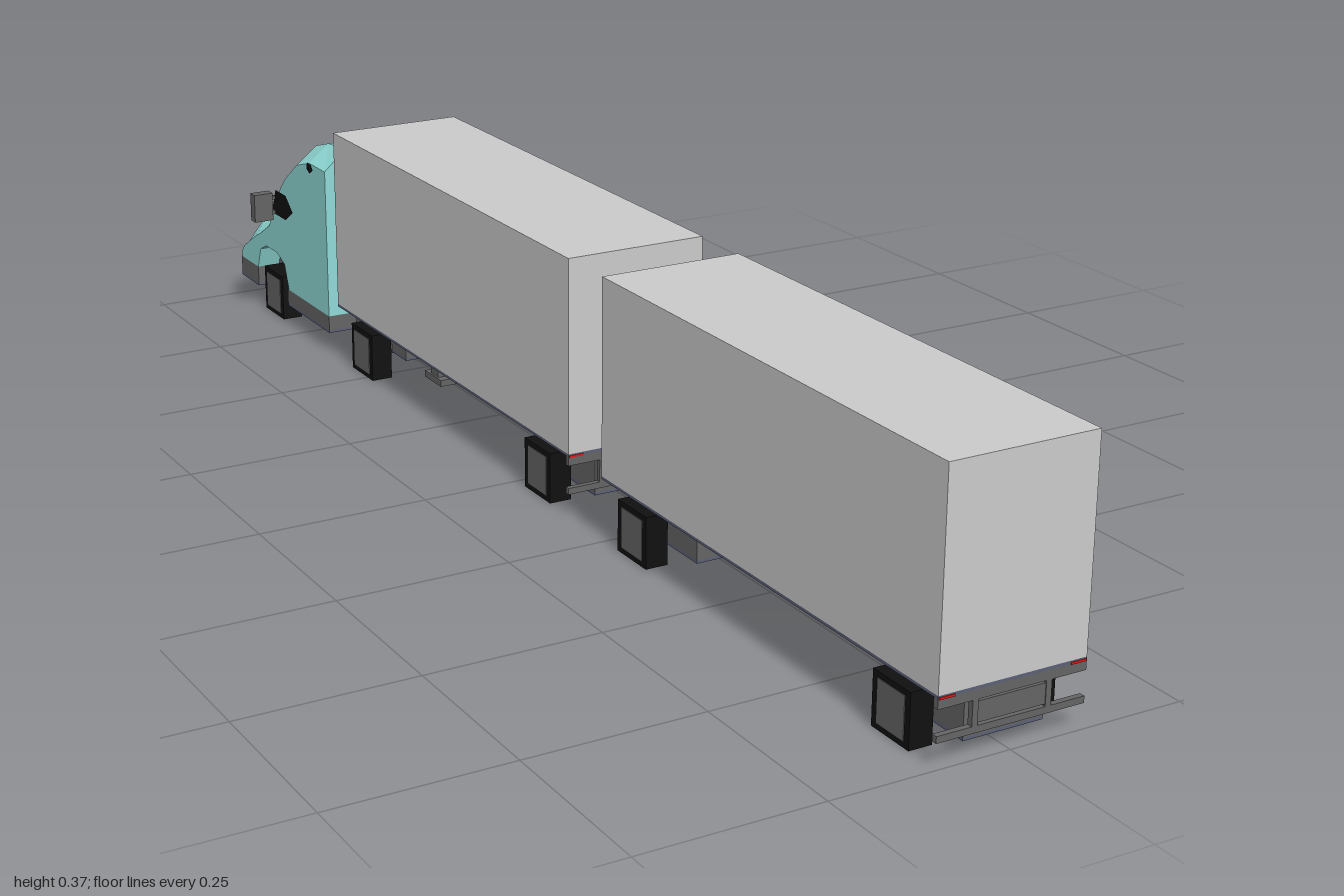
import * as THREE from 'three';

const mat = (name, color, extra = {}) => {
  const m = new THREE.MeshStandardMaterial({ color, flatShading: true, ...extra });
  m.name = name;
  return m;
};

export function createModel() {
  const white = mat('trailerGrey', 0xcacaca);
  const teal = mat('cabTeal', 0x90dad7);
  const grey = mat('frameGrey', 0x646464);
  const navy = mat('undersideNavy', 0x5b5f76);
  const black = mat('tireAndGlassBlack', 0x101010, { side: THREE.DoubleSide });
  const red = mat('lampRed', 0xee1515);

  const root = new THREE.Group();
  root.name = 'doubleTrailerTruck';

  const add = (parent, name, geometry, material) => {
    const mesh = new THREE.Mesh(geometry, material);
    mesh.name = name;
    parent.add(mesh);
    return mesh;
  };
  // Box given by its minimum and maximum on each axis
  const box = (parent, name, material, x0, x1, y0, y1, z0, z1) => {
    const g = new THREE.BoxGeometry(x1 - x0, y1 - y0, z1 - z0);
    g.translate((x0 + x1) / 2, (y0 + y1) / 2, (z0 + z1) / 2);
    return add(parent, name, g, material);
  };
  const group = (name) => {
    const g = new THREE.Group();
    g.name = name;
    root.add(g);
    return g;
  };
  const fromPoints = (points) => {
    const g = new THREE.BufferGeometry();
    g.setAttribute('position', new THREE.Float32BufferAttribute(points.flat(), 3));
    g.computeVertexNormals();
    return g;
  };

  // Axle with two square-shouldered wheels
  const axle = (z) => {
    const g = group('axle');
    box(g, 'axleBeam', grey, -0.075, 0.075, 0.03, 0.045, z - 0.01, z + 0.01);
    for (const s of [-1, 1]) {
      const a = s > 0 ? 0.071 : -0.104, b = s > 0 ? 0.104 : -0.071;
      box(g, 'tire', black, a, b, 0, 0.074, z - 0.037, z + 0.037);
      box(g, 'hub', grey, a - 0.001, b + 0.001, 0.008, 0.066, z - 0.027, z + 0.027);
    }
  };
  [0.91, 0.322, 0.06, -0.518, -0.865].forEach(axle);

  // Trailer body with its navy floor, rear frame and lamps
  const trailer = (name, z0, z1) => {
    const g = group(name);
    box(g, 'cargoBox', white, -0.105, 0.105, 0.092, 0.372, z0, z1);
    box(g, 'floor', navy, -0.105, 0.105, 0.088, 0.092, z0, z1);
    box(g, 'rearCrossBar', grey, -0.105, 0.105, 0.075, 0.088, z1 - 0.008, z1);
    box(g, 'underrideBar', grey, -0.105, 0.105, 0.033, 0.042, z1 - 0.008, z1);
    box(g, 'ratePanel', grey, -0.05, 0.05, 0.045, 0.072, z1 - 0.005, z1 - 0.001);
    for (const s of [-1, 1]) {
      box(g, 'post', grey, s * 0.052 - 0.004, s * 0.052 + 0.004, 0.04, 0.078, z1 - 0.008, z1);
      box(g, 'tailLamp', red, s * 0.093 - 0.011, s * 0.093 + 0.011, 0.087, 0.09, z1 - 0.003, z1 + 0.001);
    }
    return g;
  };
  trailer('rearTrailer', 0.243, 0.999);
  const front = trailer('frontTrailer', -0.603, 0.152);

  // Axle housings below the trailers
  const housing = (z0, z1) => {
    const g = group('axleHousing');
    box(g, 'housing', grey, -0.057, 0.057, 0.022, 0.089, z0, z1);
    box(g, 'housingBottom', navy, -0.057, 0.057, 0.018, 0.022, z0, z1);
  };
  housing(0.83, 0.985);
  housing(0.255, 0.41);
  housing(-0.018, 0.14);

  // Landing gear
  box(front, 'landingGearTop', grey, -0.06, 0.06, 0.068, 0.09, -0.385, -0.33);
  box(front, 'landingGearMiddle', grey, -0.06, 0.06, 0.053, 0.06, -0.385, -0.33);
  for (const s of [-1, 1])
    box(front, 'landingLeg', grey, s * 0.045 - 0.012, s * 0.045 + 0.012, 0.035, 0.07, -0.37, -0.345);
  box(front, 'landingFoot', grey, -0.06, 0.06, 0.03, 0.04, -0.385, -0.33);

  // V-shaped drawbar between the trailers
  const drawbar = group('drawbar');
  for (const s of [-1, 1]) {
    const arm = add(drawbar, 'drawbarArm', new THREE.BoxGeometry(0.012, 0.012, 0.102), grey);
    arm.position.set(s * 0.017, 0.11, 0.198);
    arm.rotation.y = s * Math.atan2(0.034, 0.095);
  }

  // Tractor chassis, skirts and wheel wells
  const cab = group('tractor');
  box(cab, 'rearChassis', grey, -0.057, 0.057, 0.036, 0.076, -0.645, -0.458);
  box(cab, 'chassisBottom', navy, -0.057, 0.057, 0.032, 0.036, -0.645, -0.458);
  box(cab, 'sideSkirt', grey, -0.105, 0.105, 0.036, 0.06, -0.805, -0.64);
  box(cab, 'skirtBottom', navy, -0.105, 0.105, 0.032, 0.036, -0.805, -0.64);
  box(cab, 'wheelWell', navy, -0.067, 0.067, 0.032, 0.115, -0.94, -0.79);
  box(cab, 'bumper', grey, -0.105, 0.105, 0.036, 0.065, -1, -0.928);
  box(cab, 'bumperBottom', navy, -0.105, 0.105, 0.032, 0.036, -1, -0.928);

  // Cab shell: stations of z, bottom, shoulder height, top height, top half-width
  const stations = [
    [-0.64, 0.06, 0.300, 0.332, 0.070],
    [-0.70, 0.06, 0.300, 0.328, 0.070],
    [-0.75, 0.06, 0.285, 0.313, 0.070],
    [-0.80, 0.06, 0.250, 0.278, 0.072],
    [-0.815, 0.10, 0.235, 0.262, 0.074],
    [-0.845, 0.112, 0.200, 0.228, 0.078],
    [-0.875, 0.112, 0.150, 0.172, 0.058],
    [-0.89, 0.112, 0.142, 0.171, 0.057],
    [-0.915, 0.10, 0.127, 0.169, 0.055],
    [-0.93, 0.06, 0.120, 0.168, 0.055],
    [-0.965, 0.06, 0.100, 0.163, 0.054],
    [-0.985, 0.06, 0.088, 0.125, 0.053],
    [-0.998, 0.06, 0.075, 0.086, 0.052],
  ];
  const rings = stations.map(([z, b, s, t, w]) => [
    [0.105, b, z], [0.105, s, z], [w, t, z], [-w, t, z], [-0.105, s, z], [-0.105, b, z],
  ]);
  const shell = [];
  for (let i = 0; i + 1 < rings.length; i++)
    for (let j = 0; j < 6; j++) {
      const k = (j + 1) % 6, p = rings[i], q = rings[i + 1];
      shell.push(p[j], q[j], p[k], p[k], q[j], q[k]);
    }
  const last = rings[rings.length - 1];
  for (let j = 1; j < 5; j++) {
    shell.push(rings[0][0], rings[0][j], rings[0][j + 1]);
    shell.push(last[0], last[j + 1], last[j]);
  }
  add(cab, 'cabShell', fromPoints(shell), teal);

  // Wraparound windshield
  const glass = [];
  const xs = [-0.094, -0.075, 0, 0.075, 0.094];
  const sweep = [0.012, 0.002, 0, 0.002, 0.012];
  for (let i = 0; i < 4; i++) {
    const hi = (n) => [xs[n], 0.224, -0.853 + sweep[n]];
    const lo = (n) => [xs[n], 0.172, -0.881 + sweep[n]];
    glass.push(hi(i), hi(i + 1), lo(i), lo(i), hi(i + 1), lo(i + 1));
  }
  add(cab, 'windshield', fromPoints(glass), black);

  // Flat shape facing along x, from [z, y] points
  const sidePane = (name, pts, s) => {
    const g = new THREE.ShapeGeometry(new THREE.Shape(pts.map(([z, y]) => new THREE.Vector2(-z, y))));
    g.rotateY(Math.PI / 2);
    g.translate(s * 0.1065, 0, 0);
    add(cab, name, g, black);
  };
  for (const s of [-1, 1]) {
    sidePane('sideWindow', [[-0.77, 0.2], [-0.797, 0.222], [-0.838, 0.222], [-0.856, 0.18], [-0.8, 0.18]], s);
    sidePane('sleeperWindow', [[-0.683, 0.292], [-0.69, 0.3], [-0.705, 0.3], [-0.708, 0.29], [-0.697, 0.284]], s);
    // Mirrors on two arms
    const m = s * 0.129;
    box(cab, 'mirror', grey, m - 0.016, m + 0.016, 0.172, 0.218, -0.853, -0.836);
    for (const y of [0.183, 0.208])
      box(cab, 'mirrorArm', grey, s * 0.108 - 0.008, s * 0.108 + 0.008, y - 0.003, y + 0.003, -0.848, -0.841);
  }

  // Grille with clipped corners, leaning with the nose
  const grille = new THREE.Shape([
    [-0.035, -0.043], [0.035, -0.043], [0.047, -0.02], [0.047, 0.03],
    [0.037, 0.043], [-0.037, 0.043], [-0.047, 0.03], [-0.047, -0.02],
  ].map(([x, y]) => new THREE.Vector2(x, y)));
  const plate = add(cab, 'grille',
    new THREE.ExtrudeGeometry(grille, { depth: 0.009, bevelEnabled: false }), grey);
  plate.position.set(0, 0.111, -0.992);
  plate.rotation.x = 0.4;
  return root;
}
